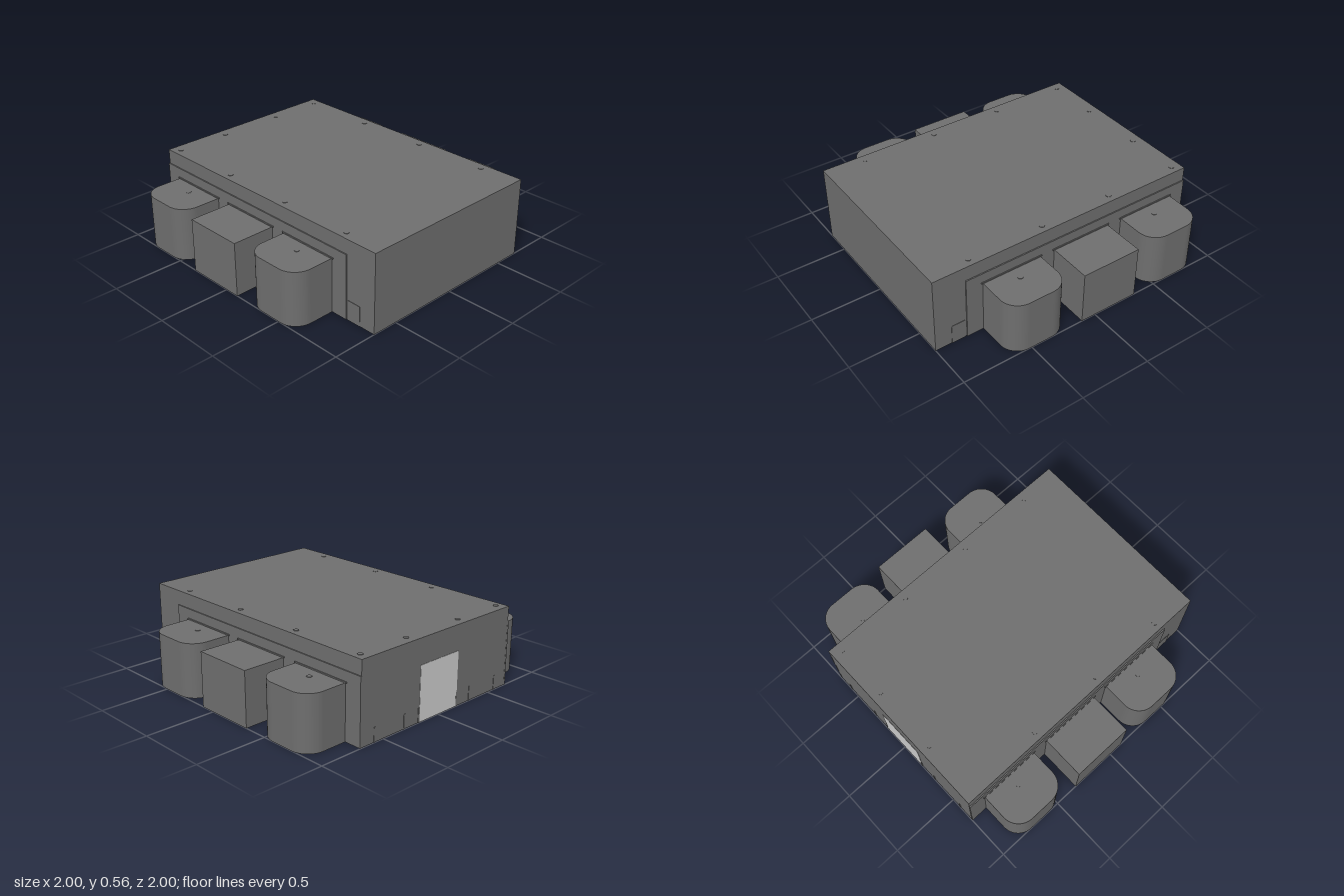
import * as THREE from 'three';

const dark = new THREE.MeshStandardMaterial({ color: 0x6e6e6e });
const light = new THREE.MeshStandardMaterial({ color: 0xcccccc });

// Box given by its minimum and maximum corners
function box(name, x0, x1, y0, y1, z0, z1, material = dark) {
  const mesh = new THREE.Mesh(new THREE.BoxGeometry(x1 - x0, y1 - y0, z1 - z0), material);
  mesh.position.set((x0 + x1) / 2, (y0 + y1) / 2, (z0 + z1) / 2);
  mesh.name = name;
  return mesh;
}

// Small round stud standing on a horizontal surface
function stud(name, x, y, z) {
  const mesh = new THREE.Mesh(new THREE.CylinderGeometry(0.018, 0.018, 0.004, 16), dark);
  mesh.position.set(x, y + 0.001, z);
  mesh.name = name;
  return mesh;
}

// Bay with two rounded outer corners, from the wall out to z = 1
function roundedBay(x0, x1, height) {
  const r = 0.13, wall = 0.68, s = new THREE.Shape();
  s.moveTo(x0, -wall);
  s.lineTo(x0, -1 + r);
  s.absarc(x0 + r, -1 + r, r, Math.PI, Math.PI * 1.5, false);
  s.absarc(x1 - r, -1 + r, r, Math.PI * 1.5, Math.PI * 2, false);
  s.lineTo(x1, -wall);
  const geometry = new THREE.ExtrudeGeometry(s, { depth: height, bevelEnabled: false, curveSegments: 10 });
  geometry.rotateX(-Math.PI / 2);
  const mesh = new THREE.Mesh(geometry, dark);
  mesh.name = 'roundedBay';
  return mesh;
}

// Everything attached to one long side
function createSide(sign) {
  const side = new THREE.Group();
  side.name = sign > 0 ? 'frontSide' : 'backSide';
  const left = sign > 0 ? -1 : 1;
  const add = (...args) => side.add(box(...args));
  add('facing', -0.998, 0.77, 0, 0.455, 0.68, 0.693);
  add('lowPanel', 0.78, 0.88, 0, 0.14, 0.68, 0.688);

  const bays = [[-0.875, -0.445, true], [-0.33, 0.105, false], [0.215, 0.65, true]];
  for (const [x0, x1, rounded] of bays) {
    if (rounded) {
      side.add(roundedBay(x0, x1, 0.38));
      side.add(stud('bayStud', (x0 + x1) / 2, 0.38, 0.78));
    } else {
      add('squareBay', x0, x1, 0, 0.38, 0.68, 1);
    }
    add('bayFlashing', x0 - 0.012, x1 + 0.012, 0.38, 0.388, 0.68, 0.699);
  }
  // A half turn puts the bays on the back; reversing x first keeps their layout
  if (left > 0) {
    side.rotation.y = Math.PI;
    for (const part of side.children) {
      part.geometry.computeBoundingBox();
      const b = part.geometry.boundingBox;
      // Each part is symmetric in x, so sliding it across the centre mirrors it
      part.position.x = -part.position.x - (b.min.x + b.max.x);
    }
  }
  return side;
}

export function createModel() {
  const model = new THREE.Group();
  model.name = 'building';
  model.add(box('mainBlock', -0.997, 1, 0, 0.557, -0.685, 0.685));
  model.add(createSide(1), createSide(-1));

  // Roof studs along both long edges and the right end
  for (const x of [-0.93, -0.38, 0.16, 0.71]) {
    for (const z of [-0.63, 0.63]) model.add(stud('roofStud', x, 0.557, z));
  }
  for (const z of [-0.24, 0.24]) model.add(stud('roofStud', -0.93, 0.557, z));

  // End wall: pale door and low posts
  model.add(box('door', -0.999, -0.99, 0, 0.38, -0.175, 0.18, light));
  for (const z of [0.18, 0.31, 0.57]) {
    for (const s of [-1, 1]) {
      model.add(box('endPost', -1, -0.99, 0, 0.1, s * z - 0.007, s * z + 0.007));
    }
  }
  return model;
}
